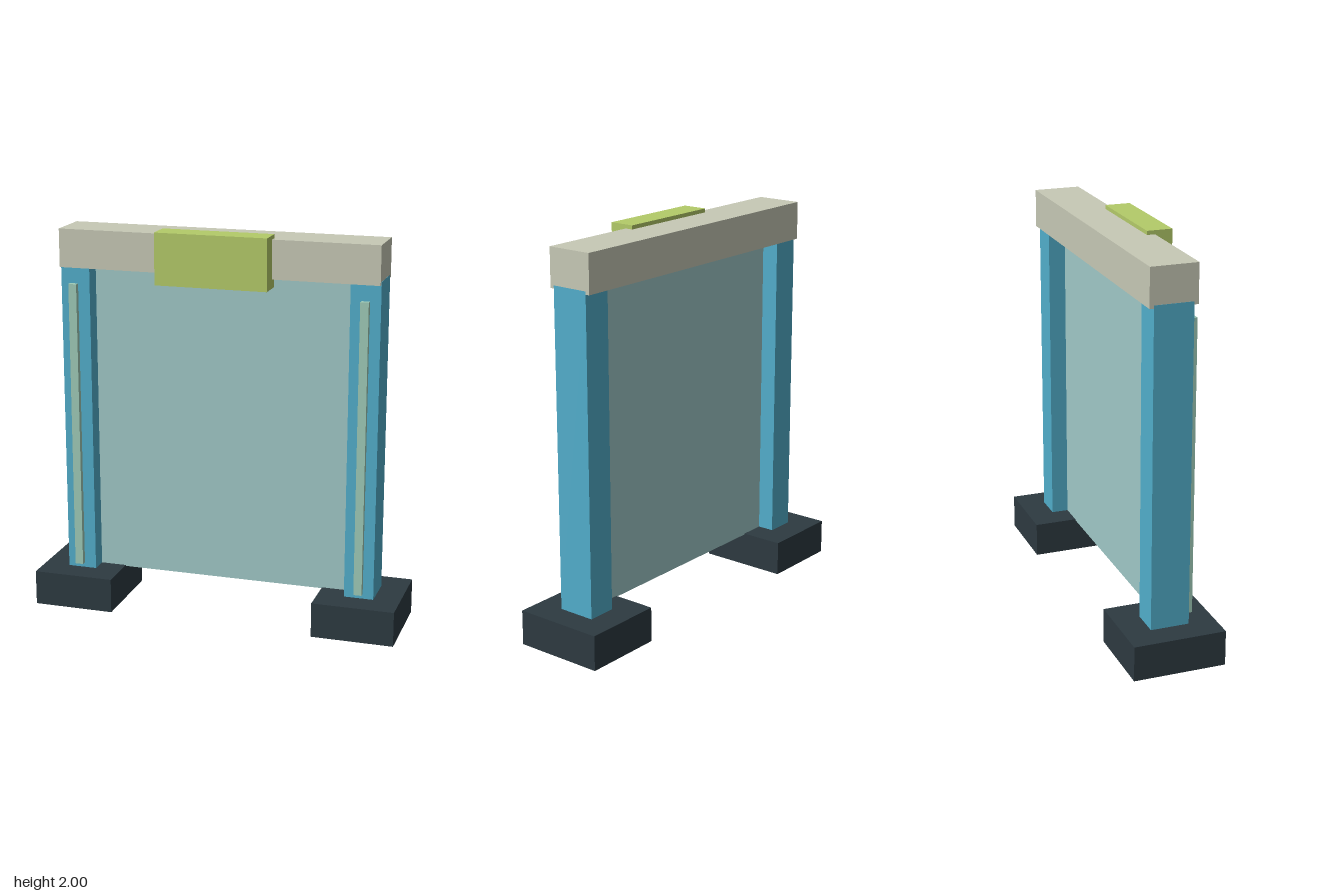
import * as THREE from 'three';

const mat = (name, color) => {
  const m = new THREE.MeshStandardMaterial({ color });
  m.name = name;
  return m;
};

export function createModel() {
  const group = new THREE.Group();
  group.name = 'gate';

  const slate = mat('dark slate', 0x2d3a41);
  const blue = mat('blue', 0x52aecb);
  const stone = mat('pale stone', 0xc7c9b6);
  const lime = mat('lime green', 0xb4cb69);
  const glass = mat('pale teal', 0xa0c9c8);
  const mint = mat('mint', 0x9fcbb8);

  // Box given by its lower and upper limits on each axis
  const box = (name, material, [x0, x1], [y0, y1], [z0, z1]) => {
    const mesh = new THREE.Mesh(new THREE.BoxGeometry(x1 - x0, y1 - y0, z1 - z0), material);
    mesh.position.set((x0 + x1) / 2, (y0 + y1) / 2, (z0 + z1) / 2);
    mesh.name = name;
    group.add(mesh);
  };

  // Foot, post and light strip on each side
  for (const [side, s] of [['left', 1], ['right', -1]]) {
    const span = (a, b) => (s > 0 ? [a, b] : [-b, -a]);
    box(side + 'Foot', slate, span(0.535, 0.955), [0, 0.18], [-0.235, 0.235]);
    box(side + 'Post', blue, span(0.67, 0.821), [0.175, 1.8], [-0.098, 0.098]);
    box(side + 'LightStrip', mint, span(0.727, 0.769), [0.21, 1.705], [0.11, 0.137]);
  }

  // Thin panel filling the opening
  box('panel', glass, [-0.68, 0.68], [0.175, 1.79], [-0.01, 0.01]);

  // Top beam with the sign block on its front
  box('beam', stone, [-0.82, 0.82], [1.785, 1.98], [-0.119, 0.119]);
  box('signBlock', lime, [-0.285, 0.285], [1.74, 2], [0.078, 0.208]);

  return group;
}
